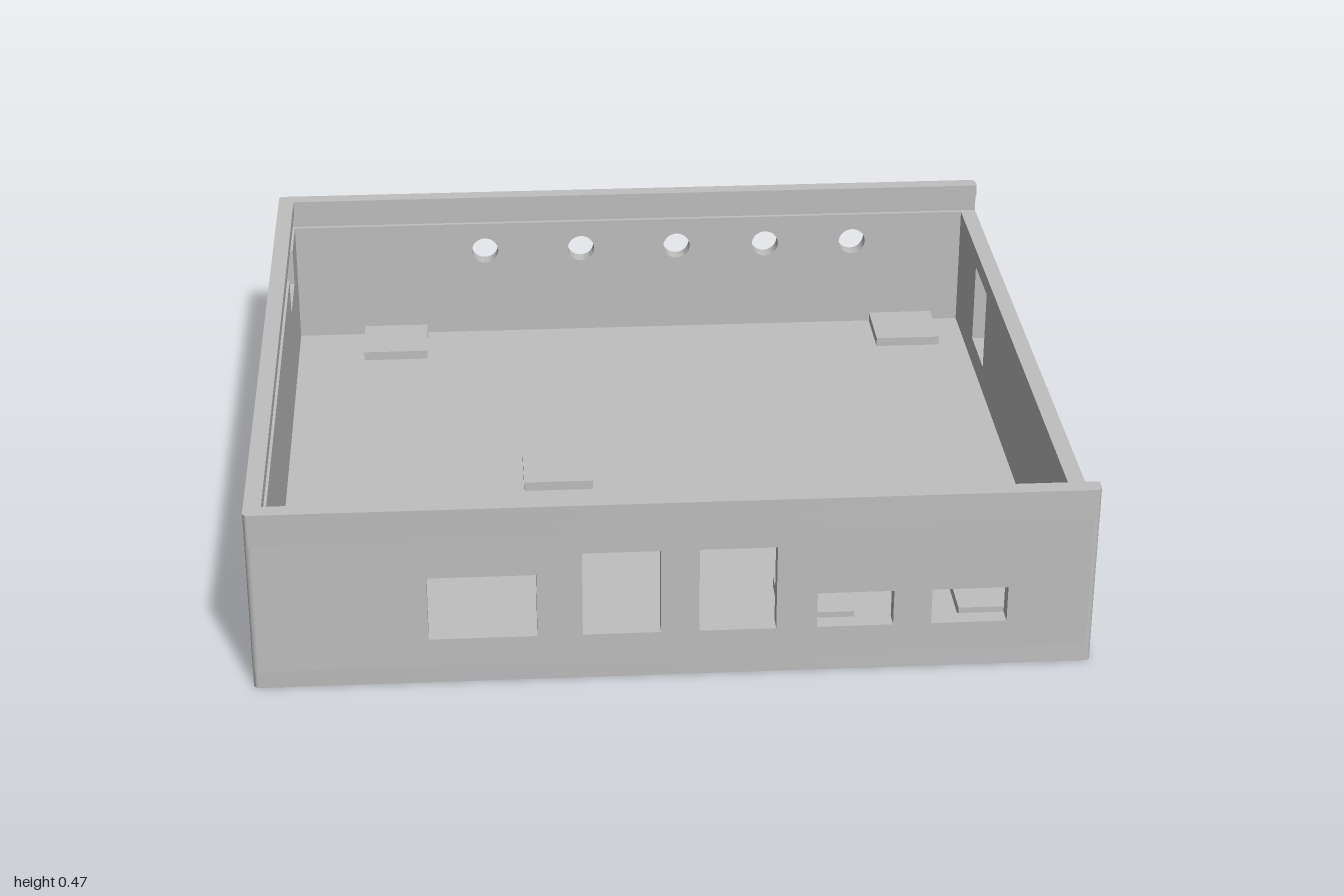
import * as THREE from 'three';
import { toCreasedNormals } from 'three/addons/utils/BufferGeometryUtils.js';

const X = 1, Z = 0.943, WALL = 0.042, R = 0.016;       // half width, half depth, wall, corner radius
const FLOOR = 0.045, RIM = 0.384, GROOVE = 0.43, TOP = 0.465;

const polygon = (points) => new THREE.Shape(points.map(([x, y]) => new THREE.Vector2(x, y)));

function rectHole(x0, x1, y0, y1) {
  return polygon([[x0, y0], [x0, y1], [x1, y1], [x1, y0]]);
}

function circleHole(x, y, r) {
  return new THREE.Path().absarc(x, y, r, 0, Math.PI * 2, true);
}

function extrude(shape, depth) {
  const geo = new THREE.ExtrudeGeometry(shape, { depth, bevelEnabled: false, curveSegments: 16 });
  return toCreasedNormals(geo, 0.6);
}

export function createModel() {
  const group = new THREE.Group();
  const grey = new THREE.MeshStandardMaterial({ color: 0xbfbfbf });
  grey.name = 'light grey';

  const add = (name, geo, x = 0, y = 0, z = 0) => {
    const mesh = new THREE.Mesh(geo, grey);
    mesh.name = name;
    mesh.position.set(x, y, z);
    group.add(mesh);
  };
  // Plan shapes use (x, -z) and rise along y
  const addPlan = (name, shape, y0, y1) =>
    add(name, extrude(shape, y1 - y0).rotateX(-Math.PI / 2), 0, y0, 0);

  // Floor with small rounded corners
  const floor = new THREE.Shape();
  floor.absarc(X - R, Z - R, R, 0, Math.PI / 2);
  floor.absarc(-X + R, Z - R, R, Math.PI / 2, Math.PI);
  floor.absarc(-X + R, -Z + R, R, Math.PI, Math.PI * 1.5);
  floor.absarc(X - R, -Z + R, R, Math.PI * 1.5, Math.PI * 2);
  addPlan('floor', floor, 0, FLOOR);

  // Front wall with five port openings
  const ex = X - R, ez = Z - R;
  const wallOutline = (e) => polygon([[-e, FLOOR], [e, FLOOR], [e, RIM], [-e, RIM]]);
  const front = wallOutline(ex);
  front.holes.push(
    rectHole(-0.583, -0.326, 0.118, 0.284),
    rectHole(-0.219, -0.034, 0.118, 0.338),
    rectHole(0.057, 0.24, 0.118, 0.338),
    rectHole(0.337, 0.519, 0.118, 0.21),
    rectHole(0.61, 0.791, 0.118, 0.21));
  add('frontWall', extrude(front, WALL), 0, 0, Z - WALL);

  // Back wall with a row of round holes
  const back = wallOutline(ex);
  for (const x of [-0.418, -0.142, 0.134, 0.39, 0.643]) back.holes.push(circleHole(x, 0.3, 0.038));
  add('backWall', extrude(back, WALL), 0, 0, -Z);

  // Low side wall with one opening, and opposite wall notched for its opening
  const low = wallOutline(ez);
  low.holes.push(rectHole(-0.616, -0.43, 0.115, 0.337));
  add('lowSideWall', extrude(low, WALL).rotateY(-Math.PI / 2), X, 0, 0);

  const GAP0 = 0.54, GAP1 = 0.74, GAP_TOP = 0.395;
  const notched = polygon([[-ez, FLOOR], [ez, FLOOR], [ez, RIM], [-GAP0, RIM],
    [-GAP0, 0.283], [-GAP1, 0.283], [-GAP1, RIM], [-ez, RIM]]);
  add('highSideWall', extrude(notched, WALL).rotateY(-Math.PI / 2), -X + WALL, 0, 0);

  // Rounded corner posts
  for (const sx of [-1, 1]) for (const sz of [-1, 1]) {
    add('cornerPost', new THREE.CylinderGeometry(R, R, RIM - FLOOR, 24),
      sx * ex, (RIM + FLOOR) / 2, sz * ez);
  }

  // Lid rail layers: two L-shaped arms, open on the low side
  function arm(s, wall, end) {
    const shape = new THREE.Shape();
    shape.moveTo(X, s * (Z - wall));
    shape.lineTo(-X + wall, s * (Z - wall));
    shape.lineTo(-X + wall, end);
    shape.lineTo(-X, end);
    shape.lineTo(-X, s * (Z - R));
    shape.quadraticCurveTo(-X, s * Z, -X + R, s * Z);
    shape.lineTo(X - R, s * Z);
    shape.quadraticCurveTo(X, s * Z, X, s * (Z - R));
    return shape;
  }
  const layer = (name, wall, y0, y1, backEnd, frontEnd) => {
    addPlan(name, arm(1, wall, backEnd), y0, y1);
    addPlan(name, arm(-1, wall, frontEnd), y0, y1);
  };
  const THIN = 0.031;
  layer('grooveLower', THIN, RIM, GAP_TOP, GAP1, GAP0);
  layer('grooveUpper', THIN, GAP_TOP, GROOVE, 0.64, 0.64);
  layer('topLip', WALL, GROOVE, TOP, 0.64, 0.64);

  // Square mounting pads on the floor
  const pads = [[-0.246, -0.003], [0.356, 0.706], [0.791, 0.706], [-0.681, -0.816], [0.791, -0.816]];
  for (const [x, z] of pads) {
    add('mountingPad', new THREE.BoxGeometry(0.18, 0.03, 0.18), x, FLOOR + 0.01, z);
  }
  return group;
}
